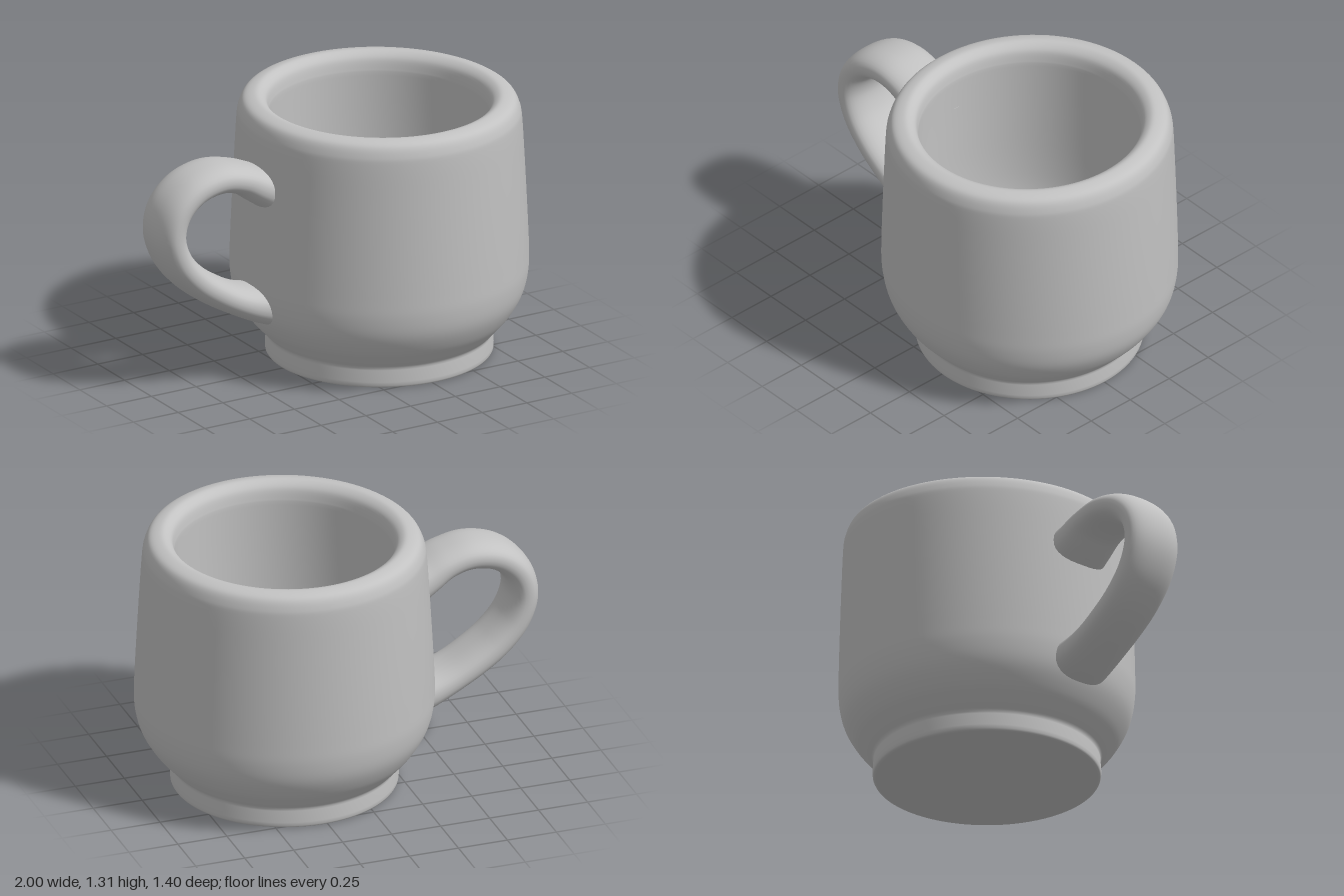
import * as THREE from 'three';

const clay = new THREE.MeshStandardMaterial({ color: 0xc2c2c2 });
clay.name = 'grey clay';

const CUP_X = 0.274;
const v2 = ([x, y]) => new THREE.Vector2(x, y);
const spline = (pts, n) => new THREE.SplineCurve(pts.map(v2)).getPoints(n);

// Foot, rounded wall, thick rim and hollow inside, turned as one profile
function cup() {
  const foot = [[0, 0.004], [0.42, 0.004], [0.43, 0], [0.53, 0], [0.543, 0.003],
    [0.548, 0.012], [0.549, 0.03], [0.545, 0.09], [0.545, 0.1]].map(v2);
  const wall = spline([[0.55, 0.11], [0.585, 0.148], [0.635, 0.21], [0.68, 0.3], [0.699, 0.4], [0.702, 0.52],
    [0.702, 0.75], [0.7, 1.0], [0.697, 1.18], [0.69, 1.24], [0.667, 1.286], [0.62, 1.304],
    [0.585, 1.3], [0.553, 1.27], [0.54, 1.21]], 70);
  const inside = spline([[0.54, 1.19], [0.542, 0.9], [0.54, 0.6], [0.525, 0.42], [0.485, 0.28], [0.425, 0.19]], 30);
  const floor = [[0.418, 0.18], [0.408, 0.178], [0.395, 0.184], [0.36, 0.188], [0, 0.19]].map(v2);
  const geo = new THREE.LatheGeometry([...foot, ...wall, ...inside, ...floor], 96);

  // The belly is slightly wider, and the rim slightly narrower, from side to side
  const pos = geo.attributes.position;
  for (let i = 0; i < pos.count; i++) {
    const y = pos.getY(i);
    const belly = 1 + 0.033 * THREE.MathUtils.smoothstep(y, 0.1, 0.45);
    const taper = 0.08 * Math.max(0, y - 0.5);
    pos.setX(i, pos.getX(i) * (belly - taper));
  }
  const mesh = new THREE.Mesh(geo, clay);
  mesh.name = 'cup';
  mesh.position.x = CUP_X;
  return mesh;
}

// Flat loop handle: a rounded section swept along a curve, flaring into the wall
function handle() {
  const path = new THREE.CatmullRomCurve3([
    [-0.31, 0.93], [-0.43, 0.985], [-0.53, 1.038], [-0.66, 1.065], [-0.8, 1.03], [-0.895, 0.94],
    [-0.925, 0.82], [-0.885, 0.69], [-0.79, 0.575], [-0.66, 0.48], [-0.54, 0.415], [-0.43, 0.375], [-0.31, 0.355],
  ].map(([x, y]) => new THREE.Vector3(x, y, -0.003)), false, 'centripetal');
  const rings = 80, sides = 32, verts = [], index = [];
  const round = (c) => Math.sign(c) * Math.abs(c) ** 0.85;
  for (let i = 0; i <= rings; i++) {
    const u = i / rings;
    const p = path.getPointAt(u), t = path.getTangentAt(u);
    const flare = Math.max(0, 1 - Math.min(u, 1 - u) / 0.2) ** 2;
    const thick = 0.073 + 0.045 * flare, wide = 0.15 + 0.03 * flare;
    for (let j = 0; j < sides; j++) {
      const a = (j / sides) * Math.PI * 2;
      const n = thick * round(Math.cos(a)), w = wide * round(Math.sin(a));
      verts.push(p.x - t.y * n, p.y + t.x * n, p.z + w);
      if (i === rings) continue;
      const k = (j + 1) % sides, q = i * sides;
      index.push(q + j, q + k, q + sides + j, q + k, q + sides + k, q + sides + j);
    }
  }
  const geo = new THREE.BufferGeometry();
  geo.setAttribute('position', new THREE.Float32BufferAttribute(verts, 3));
  geo.setIndex(index);
  geo.computeVertexNormals();
  const mesh = new THREE.Mesh(geo, clay);
  mesh.name = 'handle';
  return mesh;
}

export function createModel() {
  const group = new THREE.Group();
  group.name = 'mug';
  group.add(cup(), handle());
  return group;
}
